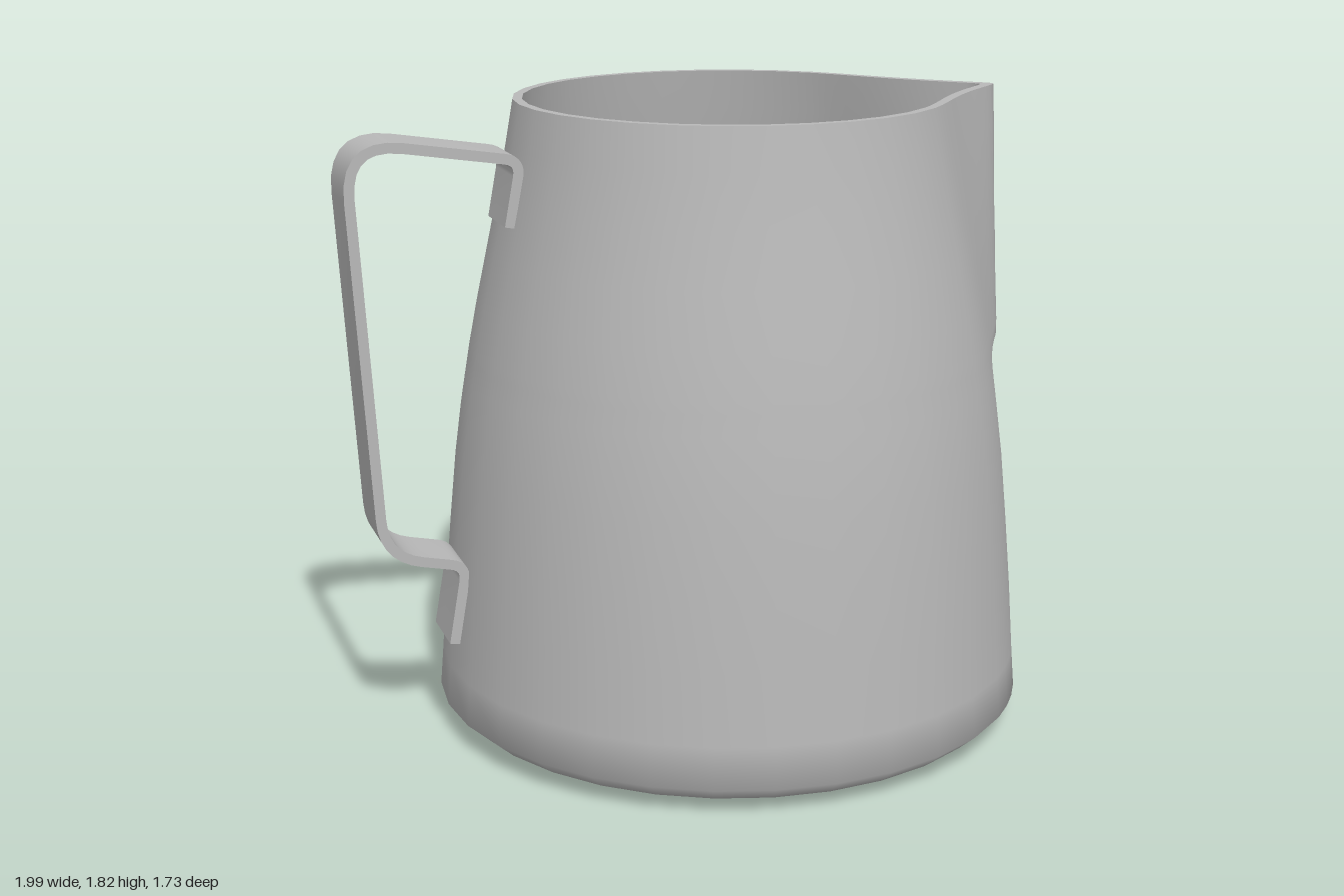
import * as THREE from 'three';
import { toCreasedNormals } from 'three/addons/utils/BufferGeometryUtils.js';

const CENTRE_X = 0.13;

// Body rings: height, round radius, reach of the spout ridge, softness of the ridge
const RINGS = [
  [0, 0.5, 0.5, 0.1], [0.012, 0.62, 0.62, 0.1], [0.035, 0.815, 0.815, 0.1],
  [0.08, 0.865, 0.865, 0.1], [0.2, 0.855, 0.856, 0.1], [0.4, 0.84, 0.845, 0.15],
  [0.6, 0.822, 0.833, 0.15], [0.8, 0.802, 0.826, 0.15], [0.95, 0.782, 0.823, 0.15],
  [1.03, 0.769, 0.826, 0.15], [1.065, 0.763, 0.836, 0.14], [1.09, 0.759, 0.852, 0.12],
  [1.12, 0.754, 0.855, 0.1], [1.25, 0.729, 0.851, 0.08], [1.4, 0.697, 0.846, 0.06],
  [1.55, 0.665, 0.84, 0.045], [1.7, 0.636, 0.835, 0.03], [1.82, 0.615, 0.83, 0.02],
];

// Angles in degrees on one side, closer together around the spout
const HALF = [0, 1, 2.5, 4.5, 7, 10, 13, 17, 22.5, 28, 33.75, 39, 45];
for (let d = 56.25; d <= 180; d += 11.25) HALF.push(d);
const ANGLES = [...HALF, ...HALF.slice(1, -1).reverse().map((d) => -d)]
  .map((d) => THREE.MathUtils.degToRad(d));

// A circle drawn out to a slightly hollow point at angle 0
function radiusAt(angle, r, reach, soft) {
  if (reach - r < 0.0005) return r;
  const a = Math.sqrt(angle * angle + soft * soft) - soft;
  const tangent = Math.acos(r / reach);
  if (a >= tangent) return r;
  const e = (r / Math.cos(tangent - a) - r) / (reach - r);
  return r + (reach - r) * Math.pow(e, 1.3);
}

function bodyGeometry() {
  const inner = RINGS.filter((q) => q[0] >= 0.08).reverse()
    .map(([y, r, d, s]) => [y, r - 0.027, Math.max(d - 0.045, r - 0.027), s]);
  const rows = [
    [0, 0, 0, 0], ...RINGS,          // underside and outer wall
    ...inner,                        // lip and inner wall
    [0.05, 0.8, 0.8, 0], [0.045, 0, 0, 0], // inside floor
  ];
  const pos = [];
  const index = [];
  const n = ANGLES.length;
  rows.forEach(([y, r, d, s], j) => {
    ANGLES.forEach((a, i) => {
      const R = radiusAt(a, r, d, s);
      pos.push(CENTRE_X + R * Math.cos(a), y, R * Math.sin(a));
      if (j === rows.length - 1) return;
      const p = j * n + i;
      const q = j * n + ((i + 1) % n);
      if (j < rows.length - 2) index.push(p, p + n, q + n);
      else index.push(p, p + n, q);
      if (j > 0 && j < rows.length - 2) index.push(p, q + n, q);
    });
  });
  const g = new THREE.BufferGeometry();
  g.setAttribute('position', new THREE.Float32BufferAttribute(pos, 3));
  g.setIndex(index);
  return toCreasedNormals(g, 0.95);
}

// Bent flat strip: corner points with a bend length each
function handleGeometry() {
  const corners = [
    [-0.547, 1.5, 0], [-0.513, 1.683, 0.045], [-0.993, 1.757, 0.16],
    [-0.927, 0.59, 0.11], [-0.695, 0.54, 0.045], [-0.735, 0.31, 0],
  ];
  const pts = [];
  corners.forEach(([x, y, bend], i) => {
    const c = new THREE.Vector2(x, y);
    if (!bend) { pts.push(c); return; }
    const toward = (k) => new THREE.Vector2(corners[k][0], corners[k][1])
      .sub(c).setLength(bend).add(c);
    pts.push(...new THREE.QuadraticBezierCurve(toward(i - 1), c, toward(i + 1)).getPoints(7));
  });
  const side = (h) => pts.map((p, i) => {
    const a = pts[Math.max(i - 1, 0)];
    const b = pts[Math.min(i + 1, pts.length - 1)];
    const t = b.clone().sub(a).normalize();
    return new THREE.Vector2(p.x - t.y * h, p.y + t.x * h);
  });
  const outline = new THREE.Shape([...side(0.0145), ...side(-0.0145).reverse()]);
  const g = new THREE.ExtrudeGeometry(outline, { depth: 0.185, bevelEnabled: false });
  g.translate(0, 0, -0.075);
  return toCreasedNormals(g, 0.7);
}

export function createModel() {
  const steel = new THREE.MeshStandardMaterial({ color: 0xb8b8b8 });
  steel.name = 'steel grey';

  const group = new THREE.Group();
  group.name = 'milkJug';

  const body = new THREE.Mesh(bodyGeometry(), steel);
  body.name = 'bodyWithSpout';
  const handle = new THREE.Mesh(handleGeometry(), steel);
  handle.name = 'handle';
  group.add(body, handle);
  return group;
}
